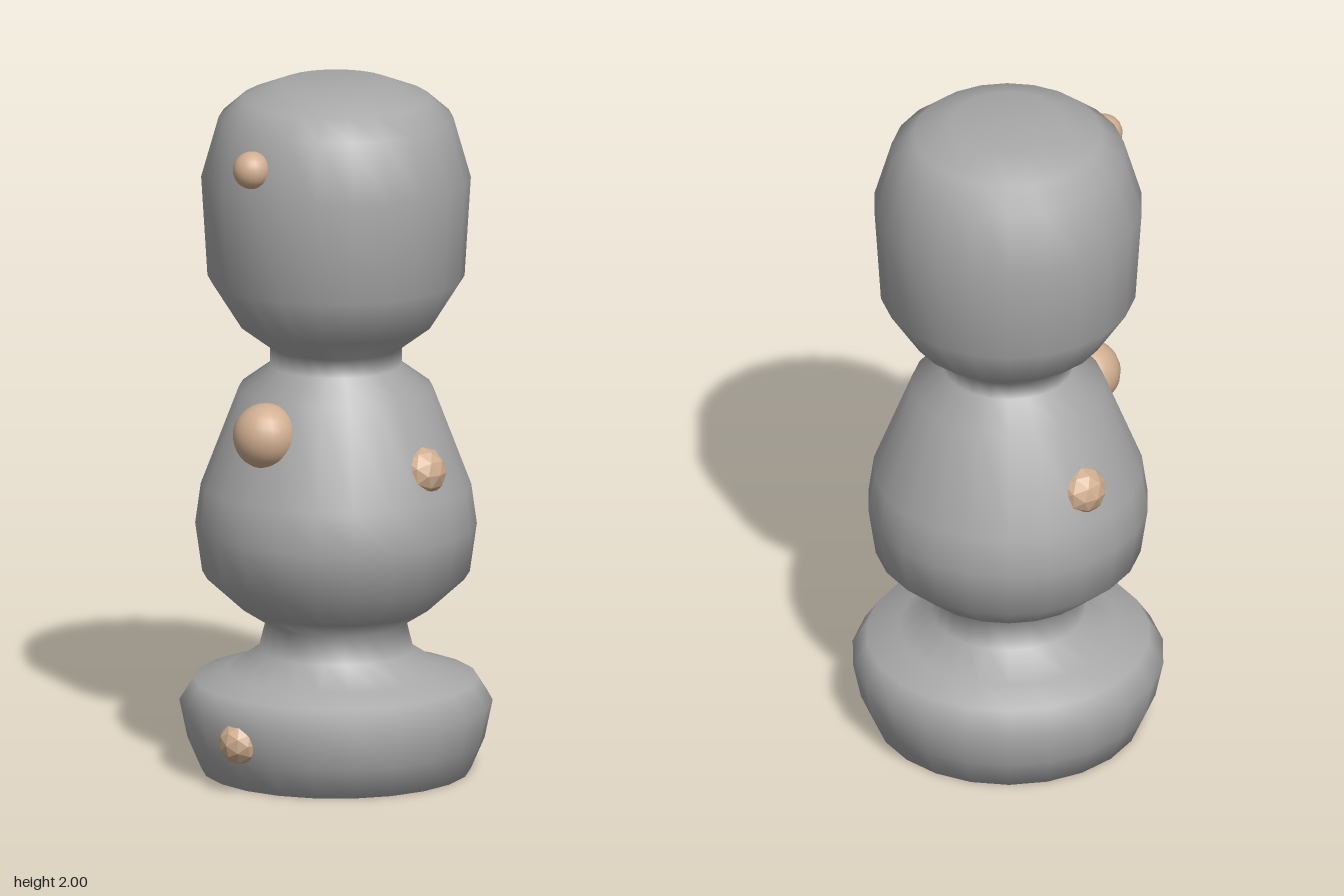
import * as THREE from 'three';

export function createModel() {
  const model = new THREE.Group();
  const grey = new THREE.MeshStandardMaterial({ color: 0xa8a8a8 });
  grey.name = 'stone grey';
  const tan = new THREE.MeshStandardMaterial({ color: 0xd0ae90 });
  tan.name = 'pale tan';
  const axisZ = -0.015;

  const add = (name, geometry, material, x, y, z) => {
    const mesh = new THREE.Mesh(geometry, material);
    mesh.name = name;
    mesh.position.set(x, y, z);
    model.add(mesh);
  };

  // Turned body: hollow foot, base, belly, neck and head in one profile
  const profile = [
    [0, 0.17], [0.2, 0.15], [0.25, 0.07], [0.28, 0.02], [0.33, 0],
    [0.383, 0], [0.422, 0.09], [0.445, 0.2], [0.404, 0.265], [0.31, 0.29],
    [0.22, 0.35], [0.2, 0.43], [0.272, 0.476], [0.38, 0.575], [0.4, 0.715],
    [0.384, 0.83], [0.275, 1.115], [0.187, 1.18], [0.188, 1.233],
    [0.278, 1.3], [0.365, 1.437], [0.383, 1.725], [0.333, 1.9],
    [0.268, 1.957], [0.16, 2], [0, 2],
  ].map(([r, y]) => new THREE.Vector2(r, y));
  add('body', new THREE.LatheGeometry(profile, 22), grey, 0, 0, axisZ);

  // Smooth round knobs on the front
  const ball = (r) => new THREE.SphereGeometry(r, 20, 14);
  add('nose', ball(0.054), tan, 0, 1.808, 0.347);
  add('chestKnob', ball(0.094), tan, 0, 1.022, 0.287);

  // Faceted knobs on the sides and base
  const facetTan = (r) => {
    const g = new THREE.IcosahedronGeometry(r, 1);
    g.computeVertexNormals();
    return g;
  };
  for (const side of [-1, 1]) {
    add(side > 0 ? 'leftKnob' : 'rightKnob', facetTan(0.073), tan, side * 0.318, 0.913, -0.02);
  }
  add('baseKnob', facetTan(0.065), tan, 0, 0.147, 0.392);

  return model;
}
